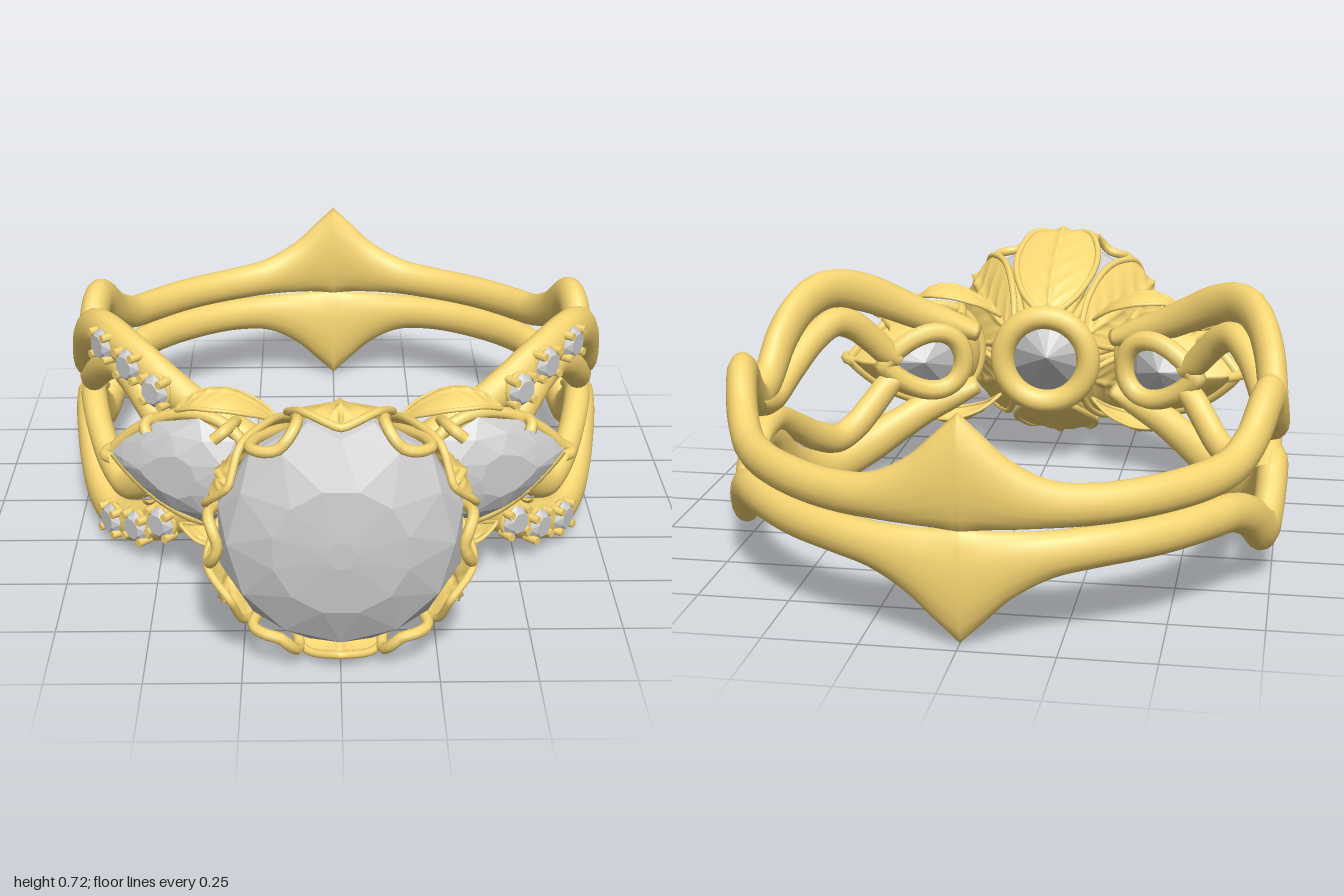
import * as THREE from 'three';
import { ConvexGeometry } from 'three/addons/geometries/ConvexGeometry.js';

const gold = new THREE.MeshStandardMaterial({ color: 0xf8d672 });
const goldThin = new THREE.MeshStandardMaterial({ color: 0xf8d672, side: THREE.DoubleSide });
const stone = new THREE.MeshStandardMaterial({ color: 0xcccccc, flatShading: true });
const V = (x, y, z) => new THREE.Vector3(x, y, z);
const MID = 0.368, RING_Z = -0.215;

function add(parent, name, geometry, material = gold) {
  const mesh = new THREE.Mesh(geometry, material);
  mesh.name = name;
  parent.add(mesh);
  return mesh;
}
function group(parent, name) {
  const g = new THREE.Group();
  g.name = name;
  parent.add(g);
  return g;
}
function tube(points, radius, closed = false, segments = 48) {
  return new THREE.TubeGeometry(new THREE.CatmullRomCurve3(points, closed), segments, radius, 8, closed);
}

// Grid surface from rows of points; rows may close on themselves, the last row may be capped
function loft(rows, closed, cap = false) {
  const n = rows[0].length, index = [];
  for (let i = 0; i < rows.length - 1; i++)
    for (let j = 0; j < (closed ? n : n - 1); j++) {
      const a = i * n + j, b = i * n + (j + 1) % n;
      index.push(a, b, a + n, b, b + n, a + n);
    }
  const e = (rows.length - 1) * n;
  if (cap) for (let j = 1; j < n - 1; j++) index.push(e, e + j, e + j + 1);
  const g = new THREE.BufferGeometry().setFromPoints(rows.flat());
  g.setIndex(index);
  g.computeVertexNormals();
  return g;
}

// One band strand: stations are [angle from front, offset from mid height, half height]
function strand(stations, side, R, halfR, bulge) {
  const curve = new THREE.CatmullRomCurve3(stations.map(s => V(...s)));
  const radial = a => V(Math.sin(a), 0, Math.cos(a));
  const at = t => {
    const s = curve.getPoint(t);
    const swell = Math.sin(Math.PI * THREE.MathUtils.clamp((s.x - 0.35) / 1.2, 0, 1)) ** 2;
    const p = radial(s.x).multiplyScalar(R + bulge * swell);
    p.z += RING_Z;
    p.y = 0.343 + 0.035 * p.z + side * s.y;
    return p;
  };
  const rows = [], N = 130, K = 16;
  for (let i = 0; i <= N; i++) {
    const t = i / N, s = curve.getPoint(t), p = at(t), r = radial(s.x);
    const T = at(Math.min(1, t + 0.004)).sub(at(Math.max(0, t - 0.004))).normalize();
    const up = T.clone().cross(r).normalize();
    const w = THREE.MathUtils.smoothstep(s.x, 2.6, 2.95);
    up.lerp(V(0, Math.sign(up.y), 0), w).normalize();
    rows.push(Array.from({ length: K }, (_, k) => {
      const q = k / K * Math.PI * 2;
      return p.clone().addScaledVector(r, halfR * Math.cos(q)).addScaledVector(up, s.z * Math.sin(q));
    }));
  }
  return loft(rows, true, true);
}

// Convex faceted gem: rings are [scale, height, phase]
const round = r => q => [r * Math.cos(q), r * Math.sin(q)];
const pear = q => [0.215 * Math.cos(q), 0.195 * Math.sin(q) * Math.pow(Math.abs(Math.sin(q / 2)), 0.8)];
function gem(outline, n, rings) {
  const pts = [];
  for (const [k, z, phase] of rings)
    for (let i = 0; i < (k ? n : 1); i++) {
      const [x, y] = outline((i + phase) / n * Math.PI * 2);
      pts.push(V(x * k, y * k, z));
    }
  return new ConvexGeometry(pts);
}

// Veined leaf with raised rim, running along +z; profile is [height, z]
function leaf(parent, name, profile, width, bow) {
  const g = group(parent, name);
  const curve = new THREE.CatmullRomCurve3(profile.map(([y, z]) => V(0, y, z)));
  const at = (t, s, lift = 0) => {
    const p = curve.getPoint(t);
    const x = s * width * Math.pow(Math.max(0, Math.sin(Math.PI * Math.pow(t, 1.05))), 0.8);
    return V(x, p.y - bow * x * x + lift, p.z);
  };
  const rows = [], N = 60, M = 24;
  for (let i = 0; i <= N; i++) rows.push(Array.from({ length: M + 1 }, (_, j) => {
    const t = i / N, s = j / M * 2 - 1, m = Math.abs(s);
    const vein = Math.pow(Math.abs(Math.sin((t * 7 - m * 1.8) * Math.PI)), 6) * (1 - m);
    const rib = Math.max(0, 1 - m * 8);
    return at(t, s, width * (0.05 * vein + 0.08 * rib));
  }));
  add(g, 'leafBlade', loft(rows, false), goldThin);
  const edge = [];
  for (let i = 0; i < 24; i++) edge.push(at(i / 24, 1));
  for (let i = 24; i > 0; i--) edge.push(at(i / 24, -1));
  add(g, 'leafRim', tube(edge, width * 0.08, true, 90));
  return g;
}

// Small round stone with a seat and four claws
function accent(parent, a, y) {
  const g = group(parent, 'accentStone');
  g.position.set(0.795 * Math.sin(a), y, RING_Z + 0.795 * Math.cos(a));
  g.rotation.y = a;
  add(g, 'smallGem', gem(round(0.048), 8, [[1, 0.005, 0], [0.65, 0.024, 0.5], [0, -0.035, 0]]), stone);
  add(g, 'smallSeat', new THREE.TorusGeometry(0.042, 0.009, 6, 20)).position.z = -0.006;
  for (let i = 0; i < 4; i++) {
    const q = (i + 0.5) * Math.PI / 2;
    const claw = add(g, 'smallClaw', new THREE.CylinderGeometry(0.012, 0.012, 0.045, 8));
    claw.rotation.x = Math.PI / 2;
    claw.position.set(0.046 * Math.cos(q), 0.046 * Math.sin(q), 0.004);
  }
}

function pearSetting(parent) {
  const g = group(parent, 'pearSetting');
  g.position.set(0.425, MID, 0.495);
  g.rotation.y = 0.44;
  add(g, 'pearGem', gem(pear, 10, [[0.98, 0.005, 0], [0.75, 0.045, 0.5], [0.4, 0.07, 0], [0.55, -0.07, 0.5], [0, -0.13, 0]]), stone);
  const ring = (k, z) => Array.from({ length: 32 }, (_, i) => {
    const [x, y] = pear(i / 32 * Math.PI * 2);
    return V(x * k, y * k, z);
  });
  add(g, 'pearRim', tube(ring(1, -0.012), 0.017, true, 80));
  add(g, 'pearBase', tube(ring(0.6, -0.12), 0.032, true, 80));
  add(g, 'pearWall', loft([ring(0.63, -0.115), ring(0.88, -0.07), ring(1, -0.012)], true), goldThin);
  for (const q of [0, 1.15, -1.15, 2.3, -2.3]) {
    const [x, y] = pear(q);
    add(g, 'pearClaw', tube([V(x * 0.95, y * 0.95, -0.07), V(x * 1.05, y * 1.05, -0.01),
      V(x * 1.02, y * 1.02, 0.025), V(x * 0.86, y * 0.86, 0.04)], 0.016, false, 16));
  }
}

// Half of the band with its side stone, accents and small leaves
function half(parent, sx) {
  const g = group(parent, 'bandHalf');
  g.scale.x = sx;
  const P = Math.PI;
  const outer = [[P, 0.145, 0.155], [P - 0.08, 0.122, 0.122], [P - 0.17, 0.092, 0.09], [P - 0.3, 0.066, 0.062],
    [P - 0.45, 0.056, 0.054], [2.45, 0.054, 0.052], [2.2, 0.056, 0.052], [2.08, 0.065, 0.052], [1.95, 0.105, 0.055],
    [1.77, 0.185, 0.06], [1.64, 0.11, 0.052], [1.55, 0.064, 0.052], [1.42, 0.09, 0.054], [1.28, 0.19, 0.058],
    [1.12, 0.262, 0.06], [0.97, 0.283, 0.06], [0.8, 0.25, 0.06], [0.66, 0.2, 0.055], [0.54, 0.155, 0.05],
    [0.42, 0.12, 0.042], [0.3, 0.085, 0.028]];
  // Inner strands meet again at the tip of the side stone
  const inner = [[1.63, 0.06, 0.02], [1.53, 0.04, 0.036], [1.4, 0.035, 0.04], [1.25, 0.09, 0.043], [1.1, 0.155, 0.045],
    [0.98, 0.185, 0.045], [0.88, 0.16, 0.045], [0.79, 0.105, 0.043], [0.72, 0.055, 0.04], [0.67, 0.03, 0.03]];
  for (const side of [1, -1]) {
    add(g, 'outerStrand', strand(outer, side, 0.742, 0.043, 0.018));
    add(g, 'innerStrand', strand(inner, side, 0.732, 0.038, 0));
    for (const [a, off] of [[0.94, 0.27], [0.79, 0.247], [0.665, 0.2]]) accent(g, a, 0.35 + side * off);
    const flip = group(g, 'smallLeafSide');
    flip.position.y = MID;
    flip.scale.y = side;
    const l = leaf(flip, 'smallLeaf', [[0.13, 0.15], [0.19, 0.22], [0.225, 0.3], [0.215, 0.37], [0.17, 0.43]], 0.072, 5);
    l.rotation.y = Math.PI / 2;
    l.position.z = 0.51;
  }
  pearSetting(g);
}

function head(parent) {
  const g = group(parent, 'head');
  g.position.y = MID;
  const gemMesh = add(g, 'centreGem', gem(round(0.315), 12, [[1, 0.85, 0], [1, 0.88, 0], [0.9, 0.935, 0.5],
    [0.55, 0.985, 0], [0.12, 1, 0.5], [0.68, 0.7, 0.5], [0, 0.5, 0]]), stone);
  gemMesh.rotation.z = Math.PI / 12;
  add(g, 'baseRing', new THREE.TorusGeometry(0.138, 0.038, 14, 48)).position.z = 0.48;
  for (let i = 0; i < 6; i++) {
    // Leaf petals closing over the stone edge
    const petal = leaf(g, 'petal', [[0.125, 0.515], [0.19, 0.58], [0.26, 0.68], [0.313, 0.79], [0.344, 0.885], [0.318, 0.94]], 0.132, 1.2);
    petal.rotation.z = i * Math.PI / 3;
    // Wire loops holding the stone between petals
    const path = [[0.012, 0.13, 0.52], [0.015, 0.2, 0.62], [0.025, 0.268, 0.74], [0.06, 0.318, 0.85], [0.065, 0.328, 0.91], [0.035, 0.315, 0.94]];
    const pts = [...path.map(p => V(...p)), V(0, 0.305, 0.945), ...path.map(([x, y, z]) => V(-x, y, z)).reverse()];
    add(g, 'wireLoop', tube(pts, 0.015, false, 60)).rotation.z = (i + 0.5) * Math.PI / 3;
  }
}

export function createModel() {
  const model = new THREE.Group();
  model.name = 'ring';
  half(model, 1);
  half(model, -1);
  head(model);
  return model;
}
